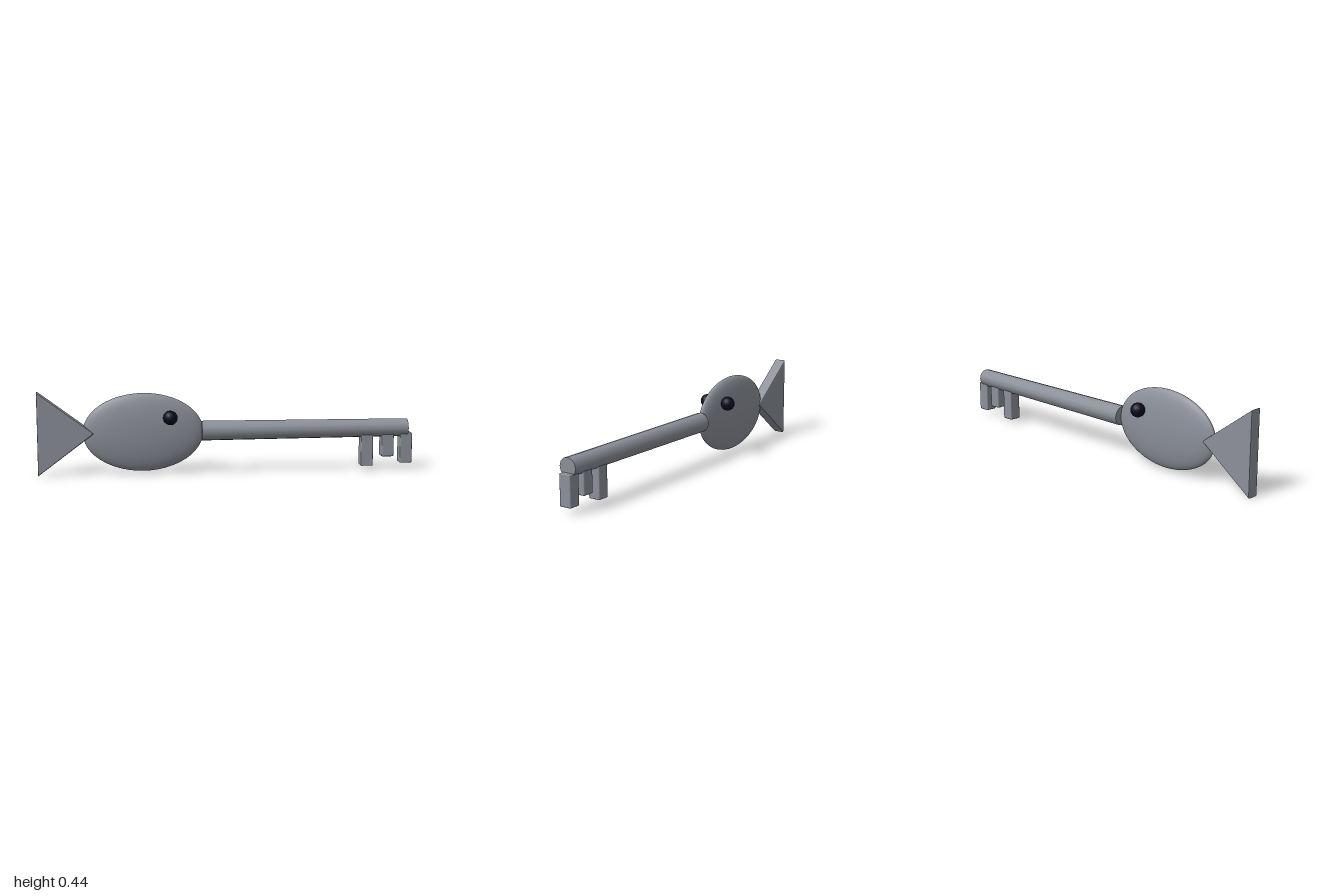
import * as THREE from 'three';
import { RoundedBoxGeometry } from 'three/addons/geometries/RoundedBoxGeometry.js';

export function createModel() {
  const steel = new THREE.MeshStandardMaterial({ name: 'steelGrey', color: 0x8c9099 });
  const ink = new THREE.MeshStandardMaterial({ name: 'inkBlue', color: 0x0a0a20 });
  const model = new THREE.Group();
  model.name = 'fishKey';

  const add = (name, geometry, material, x, y, z) => {
    const mesh = new THREE.Mesh(geometry, material);
    mesh.name = name;
    mesh.position.set(x, y, z);
    model.add(mesh);
    return mesh;
  };

  // Flattened oval body that forms the key's bow
  const bodyGeometry = new THREE.SphereGeometry(1, 32, 24).scale(0.318, 0.208, 0.05);
  add('body', bodyGeometry, steel, -0.447, 0.222, 0);

  // Triangular tail with softened edges
  const bevel = 0.008;
  const half = 0.033;
  const tailShape = new THREE.Shape();
  tailShape.moveTo(-1, 0);
  tailShape.lineTo(-0.705, 0.221);
  tailShape.lineTo(-1, 0.442);
  tailShape.closePath();
  const tailGeometry = new THREE.ExtrudeGeometry(tailShape, {
    depth: 2 * (half - bevel),
    bevelThickness: bevel,
    bevelSize: bevel,
    bevelOffset: -bevel,
    bevelSegments: 2,
  });
  add('tail', tailGeometry, steel, 0, 0, -(half - bevel));

  // Slightly tapered shaft
  const shaftGeometry = new THREE.CylinderGeometry(0.048, 0.053, 1.113, 12).rotateZ(-Math.PI / 2);
  add('shaft', shaftGeometry, steel, 0.4185, 0.224, 0);

  // Teeth: [centre x, bottom y]
  [[0.753, 0.021], [0.866, 0.07], [0.967, 0.034]].forEach(([x, bottom], i) => {
    const top = 0.197;
    const geometry = new RoundedBoxGeometry(0.066, top - bottom, 2 * half, 2, 0.006);
    add('tooth' + (i + 1), geometry, steel, x, (top + bottom) / 2, 0);
  });

  // Bead eyes on both sides
  for (const side of [1, -1]) {
    const eyeGeometry = new THREE.SphereGeometry(0.038, 16, 12);
    add(side > 0 ? 'frontEye' : 'backEye', eyeGeometry, ink, -0.307, 0.305, side * 0.066);
  }

  return model;
}
